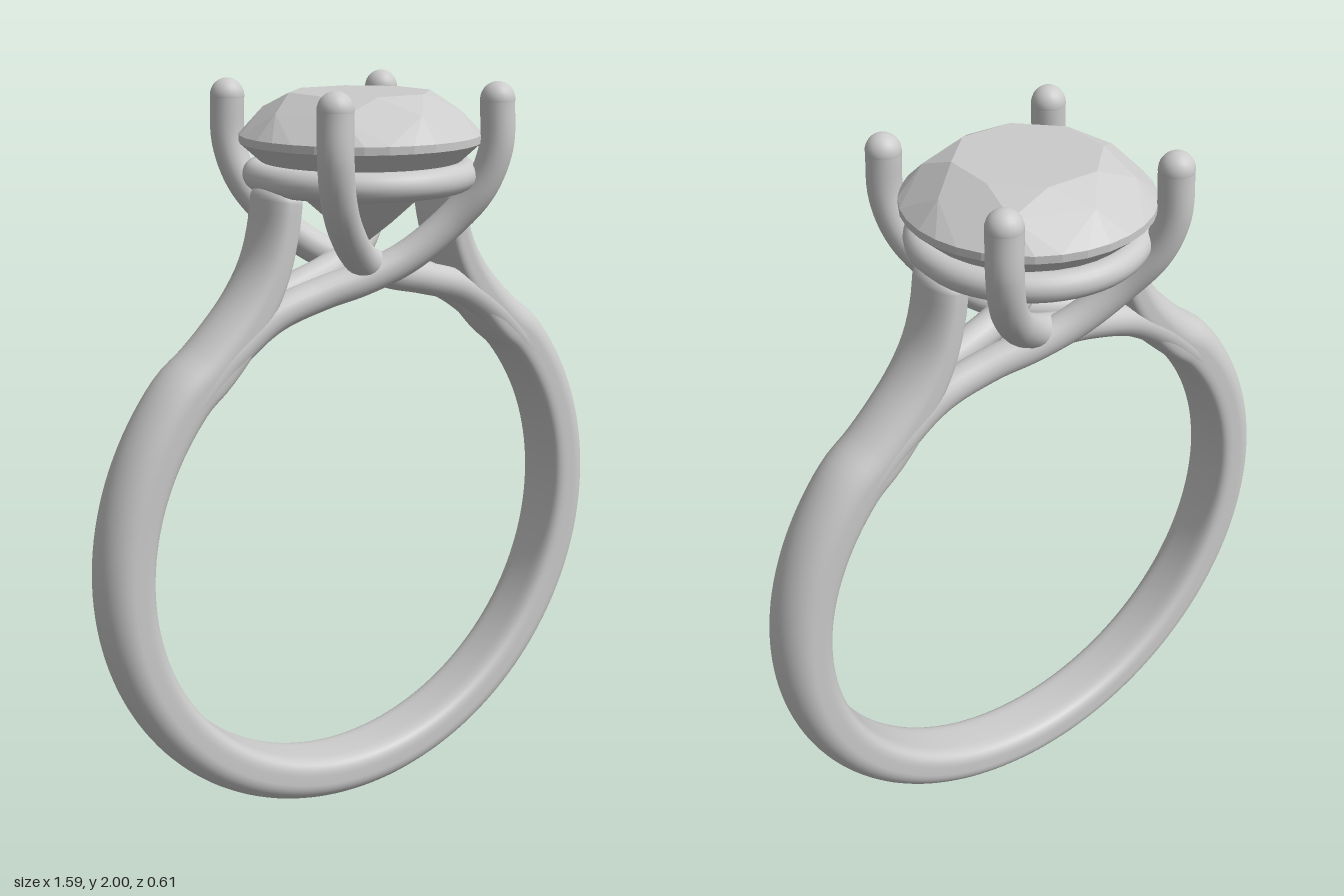
import * as THREE from 'three';
import { ConvexGeometry } from 'three/addons/geometries/ConvexGeometry.js';

const metal = new THREE.MeshStandardMaterial({ color: 0xcccccc });
const gem = new THREE.MeshStandardMaterial({ color: 0xcccccc, flatShading: true });

function addMesh(parent, name, geometry, material = metal) {
  const mesh = new THREE.Mesh(geometry, material);
  mesh.name = name;
  parent.add(mesh);
  return mesh;
}

// Band: a domed section with a flat inside, swept round the finger and up both shoulders
function bandGeometry() {
  const shoulder = [[0.475, 1.335], [0.41, 1.4], [0.347, 1.477], [0.3, 1.56], [0.272, 1.65], [0.26, 1.725]];
  const path = shoulder.map(([x, y]) => new THREE.Vector3(-x, y, 0)).reverse();
  for (let deg = -222; deg <= 42; deg += 12) {
    const a = THREE.MathUtils.degToRad(deg);
    path.push(new THREE.Vector3(0.7275 * Math.cos(a), 0.795 + 0.7275 * Math.sin(a), 0));
  }
  shoulder.forEach(([x, y]) => path.push(new THREE.Vector3(x, y, 0)));
  const curve = new THREE.CatmullRomCurve3(path);

  // Stations along the path, with rounded caps at both ends
  const stations = [], steps = 160, capSteps = 8;
  for (let i = capSteps; i > 0; i--) stations.push([0, -i / capSteps]);
  for (let i = 0; i <= steps; i++) stations.push([i / steps, 0]);
  for (let i = 1; i <= capSteps; i++) stations.push([1, i / capSteps]);

  const sides = 48, positions = [], index = [];
  stations.forEach(([t, cap], row) => {
    const tangent = curve.getTangentAt(t);
    const angle = cap * Math.PI / 2;
    const centre = curve.getPointAt(t).addScaledVector(tangent, 0.042 * Math.sin(angle));
    const scale = Math.cos(angle);
    const half = THREE.MathUtils.lerp(0.0675, 0.045, THREE.MathUtils.smoothstep(centre.y, 1.25, 1.65));
    for (let k = 0; k < sides; k++) {
      const a = k / sides * Math.PI * 2, c = Math.cos(a), s = Math.sin(a);
      const power = c < 0 ? 0.45 : 1;
      const u = Math.sign(c) * Math.abs(c) ** power * half * scale;
      const z = Math.sign(s) * Math.abs(s) ** power * 0.083 * scale;
      positions.push(centre.x + tangent.y * u, centre.y - tangent.x * u, z);
      if (row < stations.length - 1) {
        const p = row * sides + k, q = row * sides + (k + 1) % sides;
        index.push(p, p + sides, q, q, p + sides, q + sides);
      }
    }
  });
  const geometry = new THREE.BufferGeometry();
  geometry.setAttribute('position', new THREE.Float32BufferAttribute(positions, 3));
  geometry.setIndex(index);
  geometry.computeVertexNormals();
  return geometry;
}

// Round brilliant stone: table, star points, girdle, lower facets and culet
function stoneGeometry() {
  const points = [new THREE.Vector3(0, 1.58, 0)];
  const ring = (count, radius, y, offset) => {
    for (let i = 0; i < count; i++) {
      const a = (i + offset) / count * Math.PI * 2;
      points.push(new THREE.Vector3(radius * Math.cos(a), y, radius * Math.sin(a)));
    }
  };
  ring(8, 0.18, 1.97, 0.5);
  ring(8, 0.25, 1.929, 0);
  ring(32, 0.305, 1.869, 0);
  ring(32, 0.305, 1.85, 0);
  ring(8, 0.08, 1.645, 0);
  return new ConvexGeometry(points);
}

// Prong: rises from the far shoulder, crosses under the stone and ends in a ball tip
function addProng(parent, sx, sz) {
  const lift = sx * sz > 0 ? 0.012 : -0.012;
  const path = [
    [0.241, 1.955, 0.241], [0.241, 1.84, 0.241], [0.215, 1.74, 0.215], [0.155, 1.65, 0.165],
    [0.06, 1.568, 0.108 + lift], [-0.05, 1.52, 0.075 + lift], [-0.16, 1.49, 0.052 + lift / 2],
    [-0.3, 1.445, 0.043], [-0.42, 1.365, 0.042], [-0.55, 1.24, 0.04],
  ].map(([x, y, z]) => new THREE.Vector3(x * sx, y, z * sz));
  const prong = new THREE.Group();
  prong.name = 'prong';
  addMesh(prong, 'prongWire', new THREE.TubeGeometry(new THREE.CatmullRomCurve3(path), 72, 0.043, 20));
  addMesh(prong, 'prongTip', new THREE.SphereGeometry(0.0435, 20, 14)).position.copy(path[0]);
  parent.add(prong);
}

export function createModel() {
  const ring = new THREE.Group();
  ring.name = 'ring';

  addMesh(ring, 'band', bandGeometry());
  addMesh(ring, 'stone', stoneGeometry(), gem);

  // Round wire that carries the stone
  const seat = addMesh(ring, 'stoneSeat', new THREE.TorusGeometry(0.262, 0.036, 20, 72));
  seat.rotation.x = Math.PI / 2;
  seat.position.y = 1.77;

  for (const sx of [-1, 1]) for (const sz of [-1, 1]) addProng(ring, sx, sz);

  ring.position.z = -0.003;
  const model = new THREE.Group();
  model.name = 'solitaireRing';
  model.add(ring);
  return model;
}
